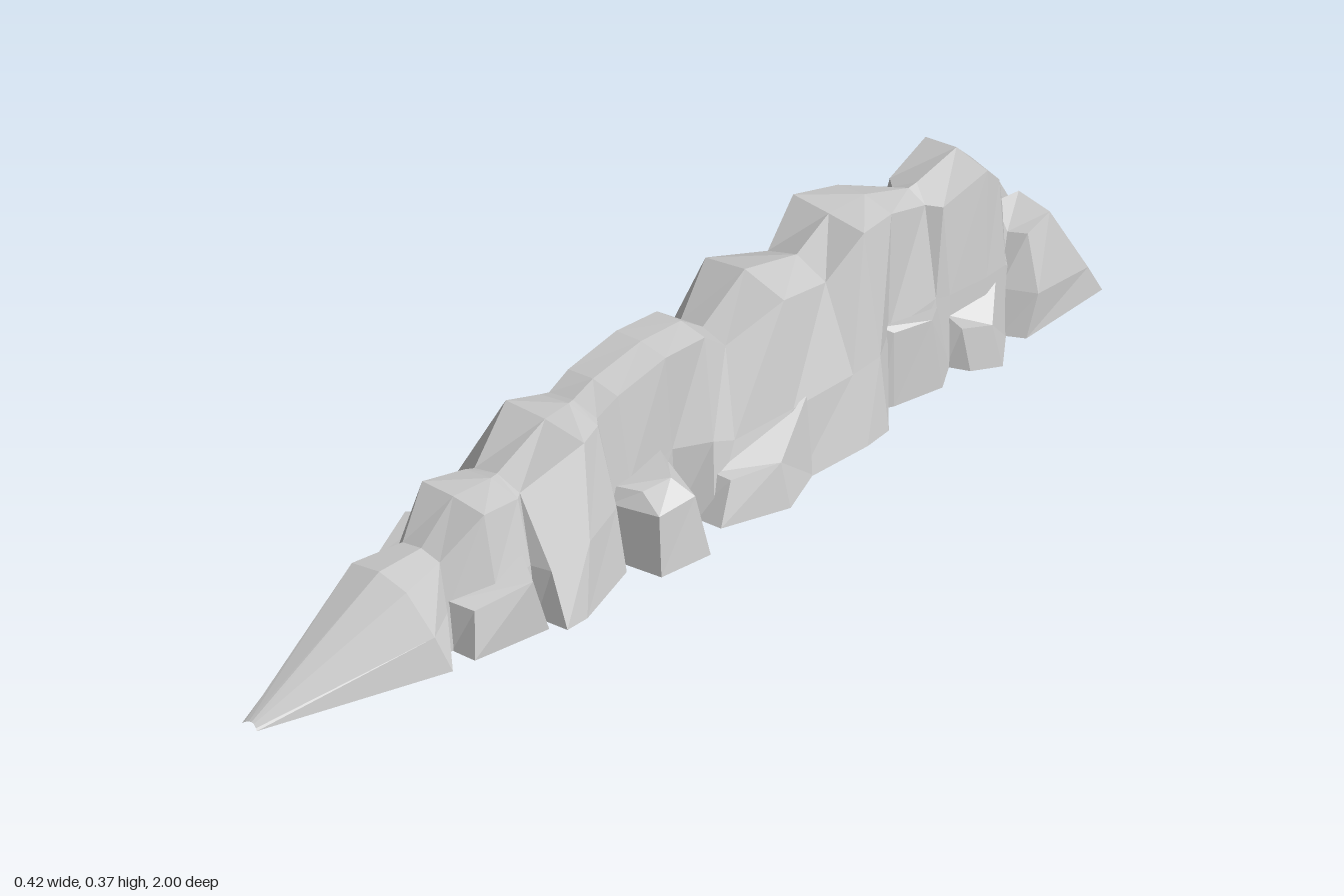
import * as THREE from 'three';

const material = new THREE.MeshStandardMaterial({
  color: 0xcccccc, flatShading: true, side: THREE.DoubleSide,
});

// Skin a list of open point rings into a shell; the underside stays open.
function shell(name, rings, capEnd = false) {
  const pos = [];
  const tri = (a, b, c) => pos.push(...a, ...b, ...c);
  const n = rings[0].length;
  for (let i = 0; i < rings.length - 1; i++) {
    for (let j = 0; j < n - 1; j++) {
      const [a, b, c, d] = [rings[i][j], rings[i][j + 1], rings[i + 1][j + 1], rings[i + 1][j]];
      // Pick the diagonal by side so both halves stay mirrored
      if (j < (n - 1) / 2) { tri(a, b, c); tri(a, c, d); }
      else { tri(a, b, d); tri(b, c, d); }
    }
  }
  const last = rings[rings.length - 1];
  for (let j = 1; capEnd && j < n - 1; j++) tri(last[0], last[j], last[j + 1]);
  const geometry = new THREE.BufferGeometry();
  geometry.setAttribute('position', new THREE.Float32BufferAttribute(pos, 3));
  geometry.computeVertexNormals();
  const mesh = new THREE.Mesh(geometry, material);
  mesh.name = name;
  return mesh;
}

// Cross-section from right foot over the top to left foot, bulging at mid height
function section([zBase, zTop, base, top, yTop, yApex]) {
  const yMid = Math.min(0.14, 0.45 * yTop);
  const zMid = zBase + (zTop - zBase) * (yMid / yTop);
  const mid = base - (base - top) * 0.35;
  return [
    [-base, 0, zBase], [-mid, yMid, zMid], [-top, yTop, zTop], [0, yApex, zTop],
    [top, yTop, zTop], [mid, yMid, zMid], [base, 0, zBase],
  ];
}

// Mirrored side boulders: a ground line of [x, z] corners and upper lines of
// [x, y, z] corners, running from front to back around the outside.
function boulderPair(name, ground, ...upper) {
  const rings = [ground.map(([x, z]) => [x, 0, z]), ...upper];
  const mirrored = rings.map((r) => r.map(([x, y, z]) => [-x, y, z]).reverse());
  const group = new THREE.Group();
  group.name = name + 'Pair';
  group.add(shell(name + 'Left', rings, true), shell(name + 'Right', mirrored, true));
  return group;
}

export function createModel() {
  const model = new THREE.Group();
  model.name = 'rockRidge';

  // Ridge sections, front to back: [zBase, zTop, base, top, yTop, yApex]
  // Pointed wedge, low shoulder and spreading slab
  model.add(shell('frontRidge', [
    [1.0, 0.995, 0.018, 0.006, 0.007, 0.008],
    [0.63, 0.675, 0.135, 0.066, 0.155, 0.168],
    [0.59, 0.57, 0.09, 0.045, 0.157, 0.166],
    [0.5, 0.49, 0.125, 0.075, 0.232, 0.236],
    [0.41, 0.395, 0.125, 0.065, 0.215, 0.228],
    [0.4, 0.38, 0.19, 0.055, 0.215, 0.23],
    [0.35, 0.26, 0.19, 0.095, 0.28, 0.286],
    [0.2, 0.2, 0.14, 0.07, 0.275, 0.29],
  ].map(section)));

  // Narrow curved saddle and broad middle block
  model.add(shell('middleRidge', [
    [0.2, 0.2, 0.14, 0.07, 0.275, 0.29],
    [0.19, 0.19, 0.1, 0.058, 0.28, 0.292],
    [0.14, 0.14, 0.105, 0.06, 0.303, 0.312],
    [0.02, 0.02, 0.085, 0.06, 0.325, 0.332],
    [-0.02, -0.08, 0.14, 0.058, 0.318, 0.326],
    [-0.06, -0.135, 0.15, 0.055, 0.272, 0.286],
    [-0.2, -0.24, 0.165, 0.095, 0.335, 0.356],
    [-0.37, -0.37, 0.172, 0.07, 0.297, 0.323],
  ].map(section)));

  // Summit block narrowing to the rear, then the rear block
  model.add(shell('rearRidge', [
    [-0.37, -0.37, 0.172, 0.07, 0.297, 0.323],
    [-0.43, -0.45, 0.165, 0.086, 0.369, 0.37],
    [-0.47, -0.54, 0.115, 0.065, 0.355, 0.366],
    [-0.62, -0.65, 0.105, 0.04, 0.308, 0.325],
    [-0.65, -0.67, 0.105, 0.065, 0.305, 0.327],
    [-0.72, -0.77, 0.115, 0.075, 0.338, 0.352],
    [-0.79, -0.805, 0.105, 0.07, 0.3, 0.315],
    [-0.84, -0.855, 0.1, 0.03, 0.19, 0.205],
  ].map(section)));

  // Side boulders, front to rear
  model.add(boulderPair('frontBoulder',
    [[0.09, 0.585], [0.14, 0.58], [0.165, 0.42], [0.12, 0.4]],
    [[0.07, 0.09, 0.575], [0.12, 0.085, 0.56], [0.155, 0.11, 0.45], [0.1, 0.125, 0.42]]));
  model.add(boulderPair('saddleBoulder',
    [[0.1, 0.19], [0.195, 0.17], [0.208, 0.06], [0.08, 0.02]],
    [[0.085, 0.11, 0.185], [0.18, 0.115, 0.16], [0.185, 0.12, 0.075], [0.075, 0.12, 0.03]],
    [[0.085, 0.14, 0.17], [0.13, 0.14, 0.15], [0.15, 0.155, 0.1], [0.075, 0.155, 0.05]]));
  model.add(boulderPair('middleBoulder',
    [[0.1, 0.0], [0.165, -0.01], [0.208, -0.14], [0.165, -0.24]],
    [[0.115, 0.08, -0.04], [0.15, 0.075, -0.05], [0.185, 0.085, -0.14], [0.14, 0.15, -0.25]]));
  model.add(boulderPair('summitBoulder',
    [[0.11, -0.47], [0.12, -0.49], [0.14, -0.59], [0.1, -0.65]],
    [[0.095, 0.16, -0.48], [0.11, 0.145, -0.5], [0.125, 0.14, -0.58], [0.08, 0.12, -0.64]]));
  model.add(boulderPair('rearBoulder',
    [[0.1, -0.64], [0.14, -0.66], [0.17, -0.71], [0.11, -0.78]],
    [[0.09, 0.1, -0.65], [0.115, 0.075, -0.665], [0.145, 0.075, -0.71], [0.095, 0.12, -0.77]]));
  // Split tail, two blocks with a cleft between them
  model.add(boulderPair('tailBlock',
    [[0.1, -0.775], [0.14, -0.8], [0.13, -1.0], [0, -1.0], [0, -0.84]],
    [[0.09, 0.09, -0.785], [0.14, 0.08, -0.83], [0.125, 0.06, -0.97], [0.006, 0.06, -0.97], [0.004, 0.06, -0.85]],
    [[0.07, 0.18, -0.825], [0.105, 0.185, -0.84], [0.1, 0.2, -0.9], [0.025, 0.208, -0.9], [0.015, 0.205, -0.85]]));

  return model;
}
